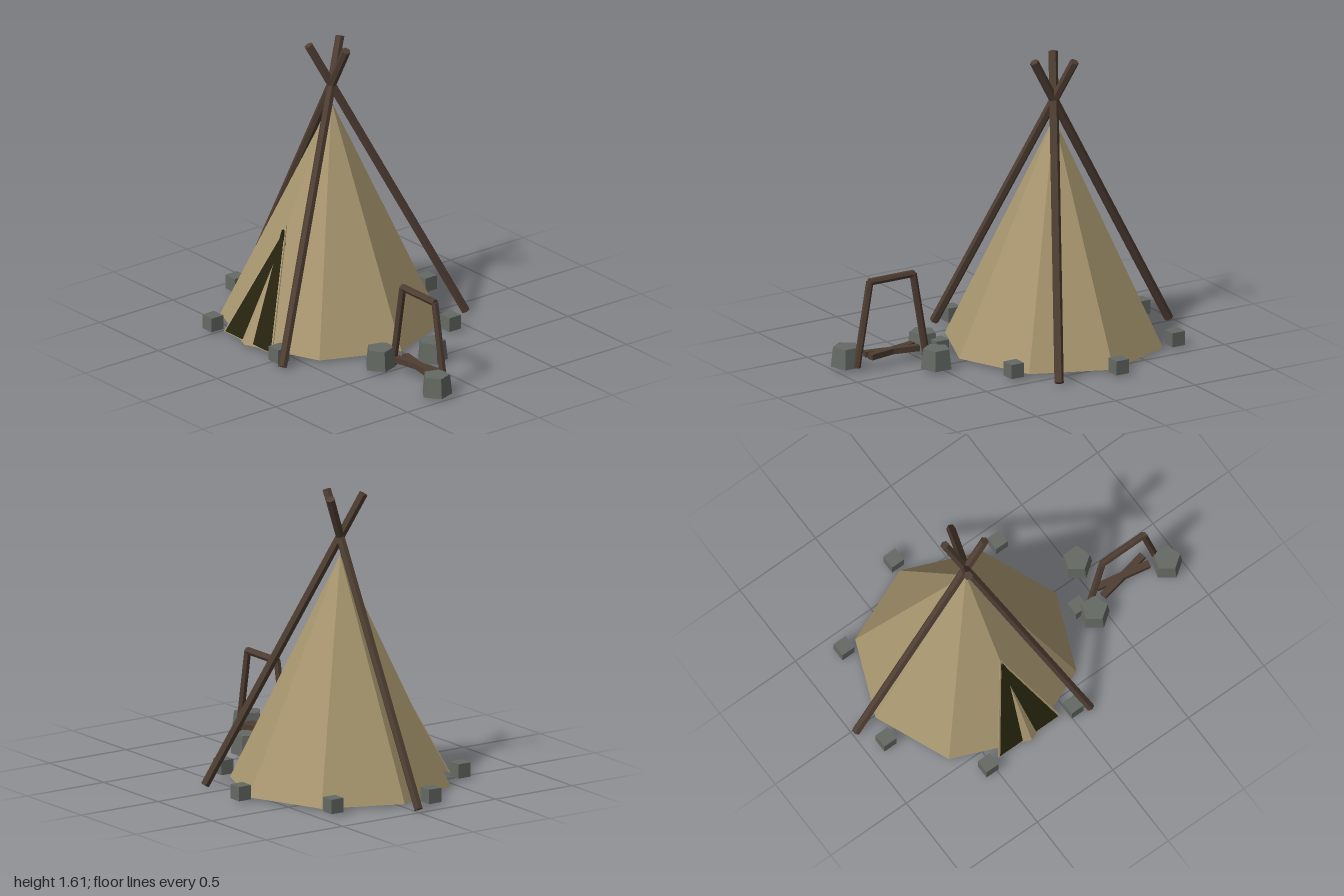
import * as THREE from 'three';

const mat = (name, color) => {
  const m = new THREE.MeshStandardMaterial({ color, flatShading: true });
  m.name = name;
  return m;
};

export function createModel() {
  const canvas = mat('canvas', 0xa8966f);
  const wood = mat('wood', 0x4f3e33);
  const stone = mat('stone', 0x656a64);
  const dark = mat('opening', 0x26240f);
  const root = new THREE.Group();
  root.name = 'campTent';

  const add = (parent, name, geometry, material, x = 0, y = 0, z = 0) => {
    const mesh = new THREE.Mesh(geometry, material);
    mesh.name = name;
    mesh.position.set(x, y, z);
    parent.add(mesh);
    return mesh;
  };

  // Straight round stick between two points
  const stick = (parent, name, a, b, radius) => {
    const from = new THREE.Vector3(...a), to = new THREE.Vector3(...b);
    const dir = to.clone().sub(from);
    const mesh = add(parent, name, new THREE.CylinderGeometry(radius, radius, dir.length(), 6), wood);
    mesh.position.copy(from).add(to).multiplyScalar(0.5);
    mesh.quaternion.setFromUnitVectors(new THREE.Vector3(0, 1, 0), dir.normalize());
    return mesh;
  };

  // Thin upright triangle, base on y = 0, front face at z = depth
  const panel = (halfWidth, height, depth) => {
    const s = new THREE.Shape();
    s.moveTo(-halfWidth, 0);
    s.lineTo(halfWidth, 0);
    s.lineTo(0, height);
    return new THREE.ExtrudeGeometry(s, { depth, bevelEnabled: false });
  };

  // Tent
  const tent = new THREE.Group();
  tent.name = 'tent';
  tent.position.set(-0.25, 0.015, 0.015);
  root.add(tent);
  add(tent, 'tentCover', new THREE.ConeGeometry(0.597, 1.25, 8), canvas, 0, 0.625, 0);

  // Poles crossing above the cover
  for (let i = 0; i < 3; i++) {
    const a = Math.PI + (i * Math.PI * 2) / 3;
    const c = Math.cos(a), s = Math.sin(a);
    stick(tent, 'tentPole', [0.724 * c, -0.003, 0.724 * s], [-0.125 * c, 1.583, -0.125 * s], 0.025);
  }

  // Sloping door with a canvas edge; the cover's ridge shows through the middle
  const door = new THREE.Group();
  door.name = 'door';
  door.position.set(0, 0.004, 0.568);
  door.rotation.x = -Math.atan2(0.262, 0.605);
  tent.add(door);
  add(door, 'doorEdge', panel(0.205, 0.665, 0.006), canvas);
  add(door, 'doorOpening', panel(0.192, 0.63, 0.004), dark, 0, 0.004, 0.004);
  // Upright inner panel, just reaching through the floor
  add(tent, 'innerDoor', panel(0.205, 0.6, 0.016), dark, 0, -0.003, 0.325);

  // Ring of weight stones
  for (let i = 0; i < 7; i++) {
    const a = (i * Math.PI * 2) / 7;
    add(tent, 'tentStone', new THREE.BoxGeometry(0.079, 0.079, 0.079), stone,
      0.65 * Math.sin(a), 0.0395, -0.65 * Math.cos(a));
  }

  // Campfire with cooking frame
  const fire = new THREE.Group();
  fire.name = 'campfire';
  fire.position.set(0.68, 0, 0.165);
  root.add(fire);
  for (const [x, z] of [[-0.243, 0.073], [0.238, 0.073], [-0.152, -0.21]]) {
    add(fire, 'fireStone', new THREE.CylinderGeometry(0.074, 0.086, 0.11, 5), stone, x, 0.07, z);
  }
  for (const side of [-1, 1]) {
    stick(fire, 'frameLeg', [side * 0.218, 0.02, 0], [side * 0.136, 0.488, 0], 0.02);
    const log = add(fire, 'log', new THREE.BoxGeometry(0.31, 0.032, 0.038), wood, 0, 0.077, 0);
    log.rotation.y = side * 0.19;
  }
  stick(fire, 'frameBar', [-0.14, 0.487, 0], [0.14, 0.487, 0], 0.02);

  return root;
}
